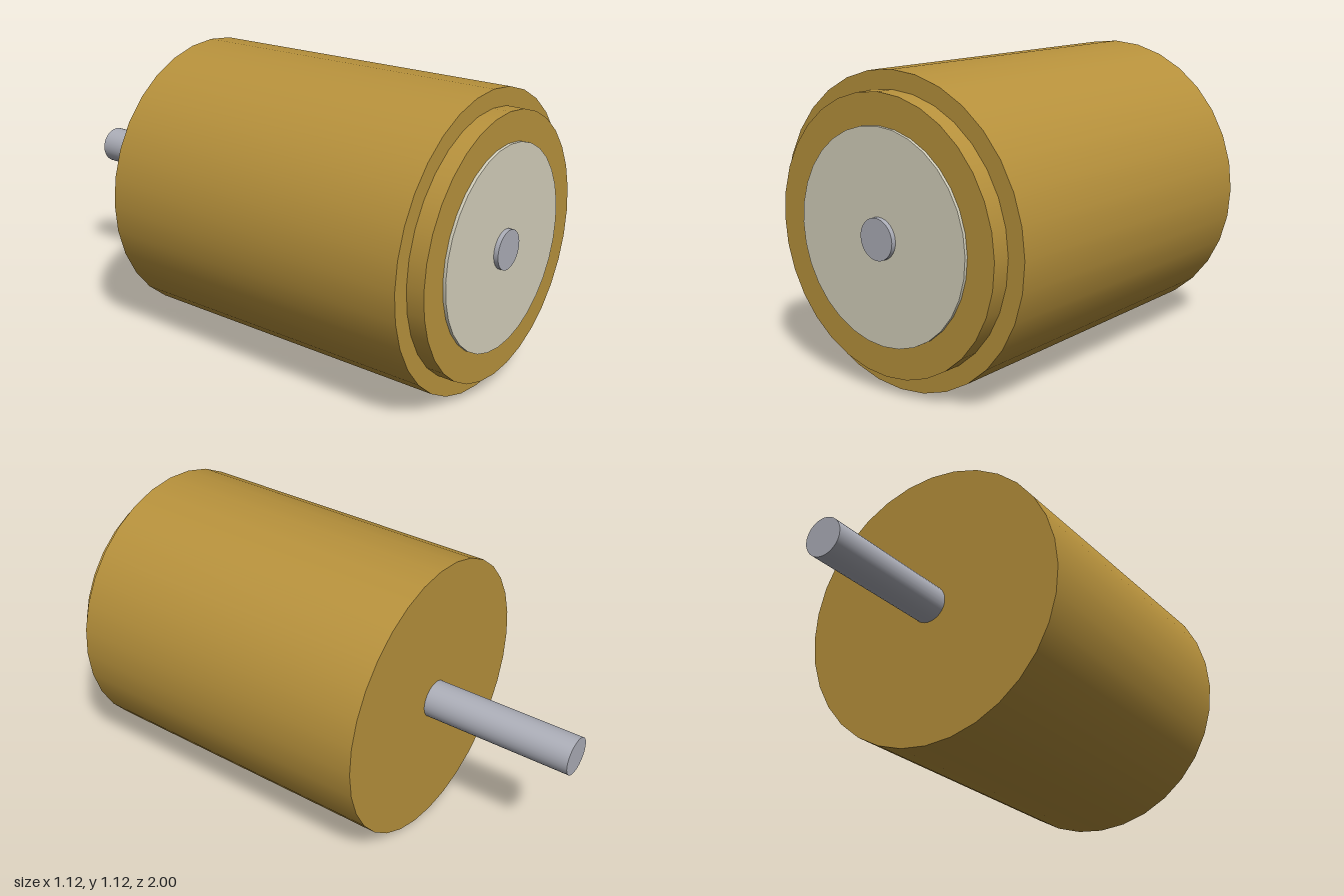
import * as THREE from 'three';

const AXIS_Y = 0.56; // height of the shared axis

export function createModel() {
  const group = new THREE.Group();
  group.name = 'motor';

  const paint = (name, color) => {
    const material = new THREE.MeshStandardMaterial({ color });
    material.name = name;
    return material;
  };
  const brass = paint('brass', 0xb8923c);
  const cream = paint('cream', 0xd4d0bc);
  const steel = paint('steel', 0xacaeb8);

  // A cylinder lying along z between two depths
  const addCylinder = (name, radius, back, front, material) => {
    const geometry = new THREE.CylinderGeometry(radius, radius, front - back, 32);
    geometry.rotateX(Math.PI / 2);
    const mesh = new THREE.Mesh(geometry, material);
    mesh.name = name;
    mesh.position.set(0, AXIS_Y, (front + back) / 2);
    group.add(mesh);
  };

  // Main can and its stepped front collar
  addCylinder('body', 0.56, -0.4, 0.905, brass);
  addCylinder('frontCollar', 0.493, 0.905, 0.972, brass);

  // Thin insulating disc on the front
  addCylinder('frontDisc', 0.381, 0.972, 0.983, cream);

  // Shaft running right through the body
  addCylinder('shaft', 0.074, -1, 1, steel);

  return group;
}
